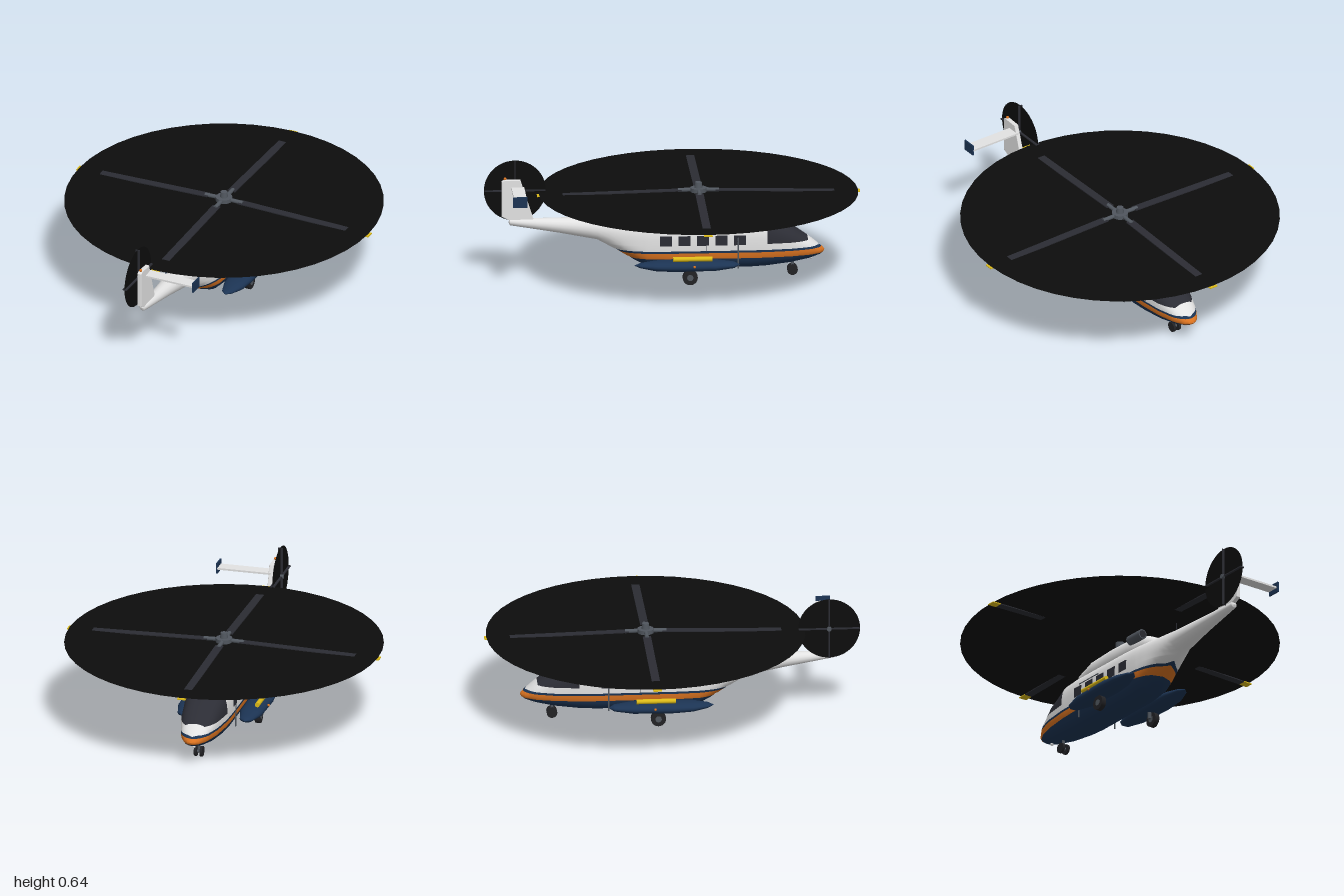
import * as THREE from 'three';
import { mergeVertices } from 'three/addons/utils/BufferGeometryUtils.js';

const mat = (name, color, side = THREE.FrontSide) => {
  const m = new THREE.MeshStandardMaterial({ color, side });
  m.name = name;
  return m;
};

export function createModel() {
  const white = mat('white paint', 0xe2e2e2);
  const navy = mat('navy paint', 0x1c3454);
  const orange = mat('orange paint', 0xdb7320);
  const yellow = mat('yellow paint', 0xdcba18);
  const glass = mat('dark glass', 0x2c2d35);
  const blur = mat('rotor disc black', 0x0d0d0d, THREE.DoubleSide);
  const dark = mat('blade charcoal', 0x2b2c33);
  const tyre = mat('tyre rubber', 0x222225);
  const metal = mat('grey metal', 0x50565e);

  const model = new THREE.Group();
  model.name = 'helicopter';
  const add = (name, geo, material, x = 0, y = 0, z = 0, parent = model) => {
    const m = new THREE.Mesh(geo, material);
    m.name = name;
    m.position.set(x, y, z);
    parent.add(m);
    return m;
  };
  const box = (w, h, d) => new THREE.BoxGeometry(w, h, d);
  // Cylinder laid along x, y or z
  const rod = (axis, r, len, seg = 20, r2 = r) => {
    const g = new THREE.CylinderGeometry(r2, r, len, seg);
    if (axis === 'x') g.rotateZ(-Math.PI / 2);
    if (axis === 'z') g.rotateX(Math.PI / 2);
    return g;
  };

  // Superellipse loft along z. Keys: [z, bottom, top, halfWidth, exponent].
  // Levels split it into height bands; pick(band, z) gives the material index.
  function loft(keys, levels, pick) {
    const sub = 4, steps = 8, rows = [];
    keys.forEach((k, i) => {
      const next = keys[i + 1];
      for (let s = 0; s < (next ? sub : 1); s++)
        rows.push(next ? k.map((v, n) => v + (next[n] - v) * s / sub) : k);
    });
    const edges = [-9, ...levels, 9], pos = [], index = [], buckets = {};
    const per = (edges.length - 1) * (steps + 1);
    for (const [z, b, t, w, n] of rows) {
      const mid = (b + t) / 2, h = Math.max((t - b) / 2, 1e-5), half = [];
      for (let e = 0; e + 1 < edges.length; e++) {
        const ang = y => Math.asin(THREE.MathUtils.clamp((y - mid) / h, -1, 1));
        const a0 = ang(edges[e]), a1 = ang(edges[e + 1]);
        for (let s = 0; s <= steps; s++) {
          const u = Math.sin(a0 + (a1 - a0) * s / steps);
          half.push([w * Math.pow(Math.max(0, 1 - Math.pow(Math.abs(u), n)), 1 / n), mid + h * u]);
        }
      }
      half.forEach(([x, y]) => pos.push(x, y, z));
      half.reverse().forEach(([x, y]) => pos.push(-x, y, z));
    }
    const ring = per * 2;
    for (let i = 0; i + 1 < rows.length; i++) {
      for (let j = 0; j + 1 < ring; j++) {
        const band = Math.floor((j < per ? j : ring - 2 - j) / (steps + 1));
        const m = pick(band, (rows[i][0] + rows[i + 1][0]) / 2);
        const a = i * ring + j, d = a + ring;
        (buckets[m] ??= []).push(a, a + 1, d + 1, a, d + 1, d);
      }
    }
    let geo = new THREE.BufferGeometry();
    geo.setAttribute('position', new THREE.Float32BufferAttribute(pos, 3));
    for (const m of Object.keys(buckets)) {
      geo.addGroup(index.length, buckets[m].length, Number(m));
      for (const v of buckets[m]) index.push(v);
    }
    geo.setIndex(index);
    geo = mergeVertices(geo, 1e-5);
    geo.computeVertexNormals();
    return geo;
  }

  // Fuselage and tail boom with painted bands and windscreen
  const hull = [
    [-0.81, 0.134, 0.136, 0.001, 2], [-0.803, 0.123, 0.146, 0.022, 2], [-0.785, 0.111, 0.162, 0.043, 2.1],
    [-0.74, 0.096, 0.198, 0.07, 2.2], [-0.72, 0.091, 0.212, 0.078, 2.3], [-0.63, 0.074, 0.274, 0.102, 2.6],
    [-0.5, 0.06, 0.334, 0.118, 2.9], [-0.4, 0.055, 0.34, 0.121, 3], [0.03, 0.057, 0.339, 0.121, 3],
    [0.14, 0.07, 0.337, 0.116, 2.9], [0.2, 0.1, 0.336, 0.108, 2.7], [0.28, 0.147, 0.335, 0.093, 2.4],
    [0.4, 0.212, 0.334, 0.068, 2.1], [0.6, 0.25, 0.332, 0.044, 2], [0.865, 0.295, 0.33, 0.019, 2],
    [0.872, 0.312, 0.313, 0.001, 2],
  ];
  add('fuselage', loft(hull, [0.123, 0.155, 0.167, 0.2], (band, z) =>
    band === 4 ? (z > -0.72 && z < -0.5 ? 3 : 0) : [1, 2, 1, 0][band]), [white, navy, orange, glass]);

  // Engine fairing on the roof
  add('engineFairing', loft([
    [-0.5, 0.3, 0.333, 0.03, 2], [-0.42, 0.3, 0.375, 0.065, 2.3], [-0.3, 0.29, 0.402, 0.085, 2.6],
    [-0.1, 0.28, 0.409, 0.092, 2.7], [0.07, 0.28, 0.407, 0.085, 2.6], [0.15, 0.29, 0.392, 0.065, 2.4],
    [0.2, 0.3, 0.365, 0.04, 2], [0.22, 0.31, 0.33, 0.01, 2],
  ], [], () => 0), [white]);

  // Paired parts on both flanks
  const sponson = loft([
    [-0.35, 0.104, 0.106, 0.001, 2], [-0.32, 0.088, 0.12, 0.035, 2], [-0.22, 0.077, 0.132, 0.06, 2.3],
    [0, 0.075, 0.134, 0.064, 2.4], [0.1, 0.08, 0.13, 0.056, 2.2], [0.18, 0.095, 0.12, 0.03, 2],
    [0.21, 0.107, 0.109, 0.001, 2],
  ], [], () => 0);
  for (const s of [-1, 1]) {
    add('sponson', sponson, [navy], s * 0.171);
    add('floatTube', rod('z', 0.013, 0.21), yellow, s * 0.2, 0.146, -0.098);
    add('sideLight', new THREE.SphereGeometry(0.007, 12, 8), orange, s * 0.236, 0.112, -0.105);
    add('mainWheel', rod('x', 0.04, 0.027, 28), tyre, s * 0.177, 0.04, -0.085);
    add('mainWheelHub', rod('x', 0.017, 0.031), metal, s * 0.177, 0.04, -0.085);
    add('mainStrut', rod('y', 0.01, 0.06), metal, s * 0.155, 0.07, -0.085);
    add('noseWheel', rod('x', 0.028, 0.013, 24), tyre, s * 0.016, 0.028, -0.64);
    add('exhaust', rod('z', 0.027, 0.11, 24), metal, s * 0.088, 0.373, 0.122);
    add('exhaustOpening', rod('z', 0.02, 0.004, 24), dark, s * 0.088, 0.373, 0.177);
    for (let i = 0; i < 5; i++)
      add('cabinWindow', box(0.008, 0.053, 0.062), glass, s * 0.119, 0.224, 0.04 - i * 0.0985);
    // Sliding door rails
    add('doorRail', box(0.006, 0.004, 0.17), metal, s * 0.117, 0.264, -0.26);
    add('doorFrontEdge', box(0.006, 0.17, 0.007), metal, s * 0.12, 0.155, -0.345);
    add('doorRearEdge', box(0.004, 0.1, 0.003), metal, s * 0.12, 0.215, -0.175);
  }
  add('noseAxle', rod('x', 0.009, 0.04), metal, 0, 0.028, -0.64);
  add('noseStrut', rod('y', 0.008, 0.06), metal, 0, 0.06, -0.64);
  add('noseLight', new THREE.SphereGeometry(0.009, 12, 8), white, 0, 0.092, -0.74);
  add('aerial', rod('y', 0.003, 0.06, 8), dark, 0, 0.362, 0.36);

  // Tail fin, drawn as (z, y) then turned upright
  const outline = [[0.74, 0.325], [0.865, 0.325], [0.905, 0.345], [0.905, 0.535], [0.89, 0.543], [0.81, 0.54]];
  const finShape = new THREE.Shape(outline.map(([z, y]) => new THREE.Vector2(-z, y)));
  const fin = new THREE.ExtrudeGeometry(finShape, { depth: 0.016, bevelEnabled: true, bevelSize: 0.003, bevelThickness: 0.004, bevelSegments: 2 });
  fin.translate(0, 0, -0.008).rotateY(Math.PI / 2);
  add('tailFin', fin, white);
  add('beacon', new THREE.SphereGeometry(0.008, 12, 8), orange, 0, 0.55, 0.89);
  add('stabiliser', box(0.295, 0.01, 0.068), white, 0.147, 0.5, 0.822);
  add('stabiliserEndPlate', box(0.008, 0.058, 0.076), navy, 0.295, 0.501, 0.827);

  // Tail rotor
  const tail = new THREE.Group();
  tail.name = 'tailRotor';
  tail.position.set(-0.043, 0.474, 0.835);
  model.add(tail);
  add('tailRotorDisc', new THREE.CircleGeometry(0.165, 48).rotateY(Math.PI / 2), blur, 0, 0, 0, tail);
  add('tailBladeUpright', box(0.024, 0.325, 0.006), dark, 0, 0, 0, tail);
  add('tailBladeLevel', box(0.024, 0.006, 0.325), dark, 0, 0, 0, tail);
  add('tailRotorShaft', rod('x', 0.012, 0.065), metal, 0.015, 0, 0, tail);

  // Main rotor: flat disc with drooping blades passing through it
  const rotor = new THREE.Group();
  rotor.name = 'mainRotor';
  rotor.position.set(0, 0, -0.14);
  model.add(rotor);
  add('mainRotorDisc', new THREE.CircleGeometry(0.85, 48).rotateX(-Math.PI / 2), blur, 0, 0.461, 0, rotor);
  add('mast', rod('y', 0.024, 0.09), metal, 0, 0.435, 0, rotor);
  add('hub', rod('y', 0.044, 0.022, 24), metal, 0, 0.475, 0, rotor);
  add('hubCap', rod('y', 0.022, 0.034, 20, 0.018), metal, 0, 0.499, 0, rotor);
  for (let i = 0; i < 4; i++) {
    const arm = new THREE.Group();
    arm.name = 'rotorArm';
    arm.position.y = 0.4755;
    arm.rotation.set(0, i * Math.PI / 2, -0.0235);
    rotor.add(arm);
    add('bladeCuff', rod('x', 0.011, 0.1), metal, 0.06, 0, 0, arm);
    add('blade', box(0.72, 0.005, 0.044), dark, 0.45, 0, 0, arm);
    add('bladeTip', box(0.05, 0.005, 0.046), yellow, 0.835, 0, 0, arm);
  }
  return model;
}
